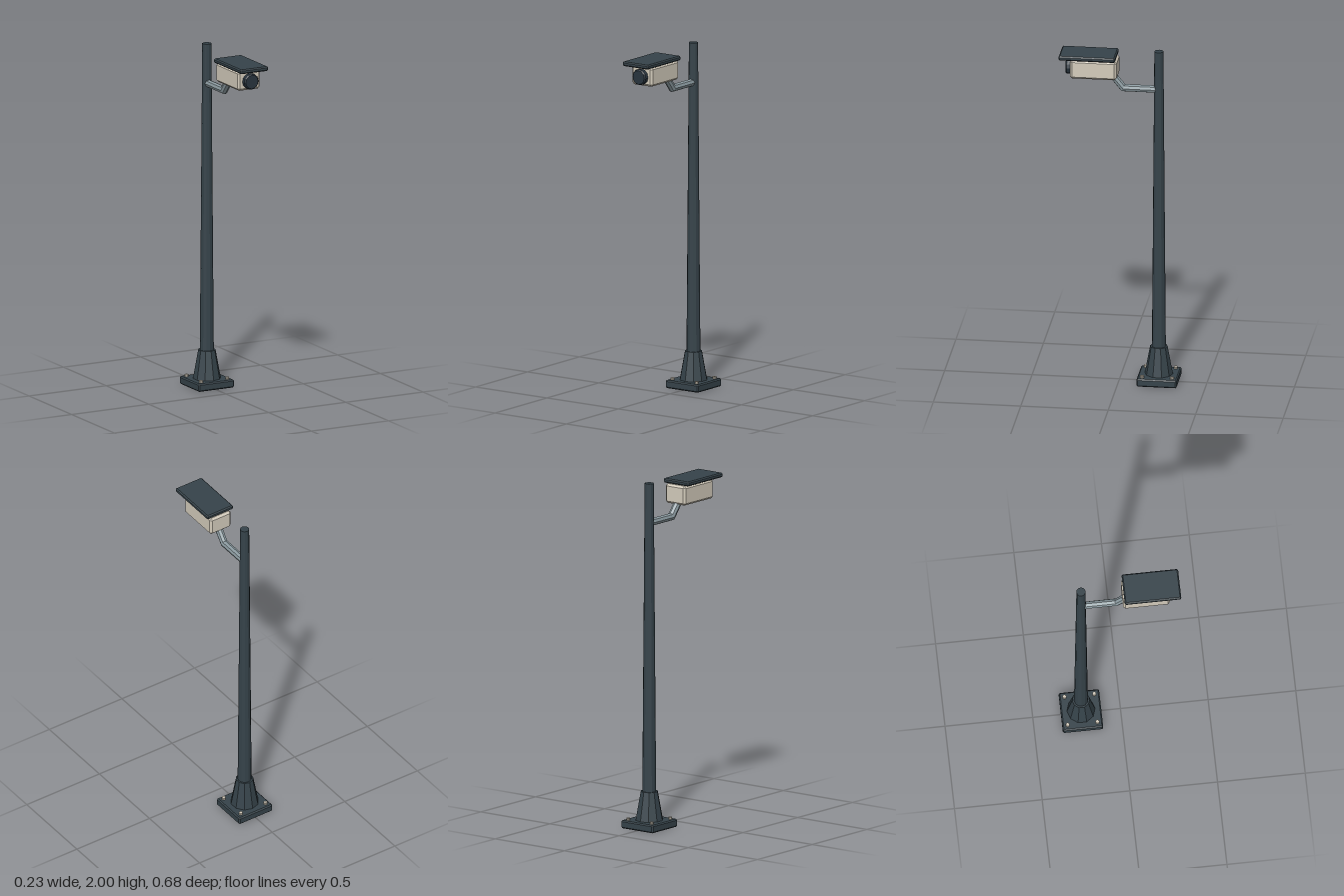
import * as THREE from 'three';
import { ConvexGeometry } from 'three/addons/geometries/ConvexGeometry.js';

const POLE_Z = -0.225;

const paint = (name, color) => {
  const m = new THREE.MeshStandardMaterial({ color, flatShading: true });
  m.name = name;
  return m;
};

// Box with every edge cut by a flat chamfer c.
function chamferBox(w, h, d, c) {
  const pts = [];
  for (const x of [-1, 1]) for (const y of [-1, 1]) for (const z of [-1, 1]) {
    const a = w / 2, b = h / 2, e = d / 2;
    pts.push(
      new THREE.Vector3(x * a, y * (b - c), z * (e - c)),
      new THREE.Vector3(x * (a - c), y * b, z * (e - c)),
      new THREE.Vector3(x * (a - c), y * (b - c), z * e));
  }
  return new ConvexGeometry(pts);
}

// Eight-sided arm of three rings: wall end, mitred elbow, raised end.
function elbowArm(r, path) {
  const geo = new THREE.CylinderGeometry(r, r, 2, 8, 2);
  const p = geo.attributes.position;
  const bend = Math.atan2(path[2][1] - path[1][1], path[2][0] - path[1][0]);
  for (let i = 0; i < p.count; i++) {
    const ring = Math.round(p.getY(i)) + 1;
    const [z, y] = path[ring];
    const v = -p.getZ(i);
    const tilt = [0, bend / 2, bend][ring];
    const s = ring === 1 ? v / Math.cos(tilt) : v;
    p.setXYZ(i, p.getX(i), y + s * Math.cos(tilt), z - s * Math.sin(tilt));
  }
  geo.computeVertexNormals();
  return geo;
}

export function createModel() {
  const model = new THREE.Group();
  model.name = 'securityCameraPole';
  const dark = paint('dark slate metal', 0x36434a);
  const steel = paint('grey steel', 0x8a999f);
  const cream = paint('cream casing', 0xd4ccbc);
  const lensMat = paint('dark lens', 0x28343e);

  const add = (name, geo, mat, x, y, z) => {
    const mesh = new THREE.Mesh(geo, mat);
    mesh.name = name;
    mesh.position.set(x, y, z);
    model.add(mesh);
    return mesh;
  };

  // Base plate, tapered collar and pole
  add('basePlate', chamferBox(0.23, 0.046, 0.23, 0.007), dark, 0, 0.023, POLE_Z);
  add('collar', new THREE.CylinderGeometry(0.05, 0.081, 0.17, 10), dark, 0, 0.127, POLE_Z);
  add('pole', new THREE.CylinderGeometry(0.026, 0.041, 1.96, 12), dark, 0, 1.02, POLE_Z);

  // Anchor bolts
  const boltGeo = new THREE.CylinderGeometry(0.011, 0.011, 0.02, 10);
  for (const x of [-0.085, 0.085]) for (const z of [-0.085, 0.085]) {
    add('anchorBolt', boltGeo, cream, x, 0.049, POLE_Z + z);
  }

  // Bent support arm
  add('arm', elbowArm(0.022, [[-0.22, 1.77], [-0.022, 1.77], [0.045, 1.852]]), steel, 0, 0, 0);

  // Camera casing and sun shield
  add('cameraBody', chamferBox(0.144, 0.112, 0.266, 0.012), cream, 0, 1.891, 0.142);
  add('sunShield', chamferBox(0.18, 0.026, 0.322, 0.007), dark, 0, 1.962, 0.177);

  // Lens barrel with a bevelled front rim
  const profile = [[0, -0.02], [0.046, -0.02], [0.046, 0.025], [0.04, 0.033], [0, 0.033]]
    .map(([r, y]) => new THREE.Vector2(r, y));
  const lens = add('lens', new THREE.LatheGeometry(profile, 12), lensMat, 0, 1.888, 0.272);
  lens.rotation.x = Math.PI / 2;

  return model;
}
